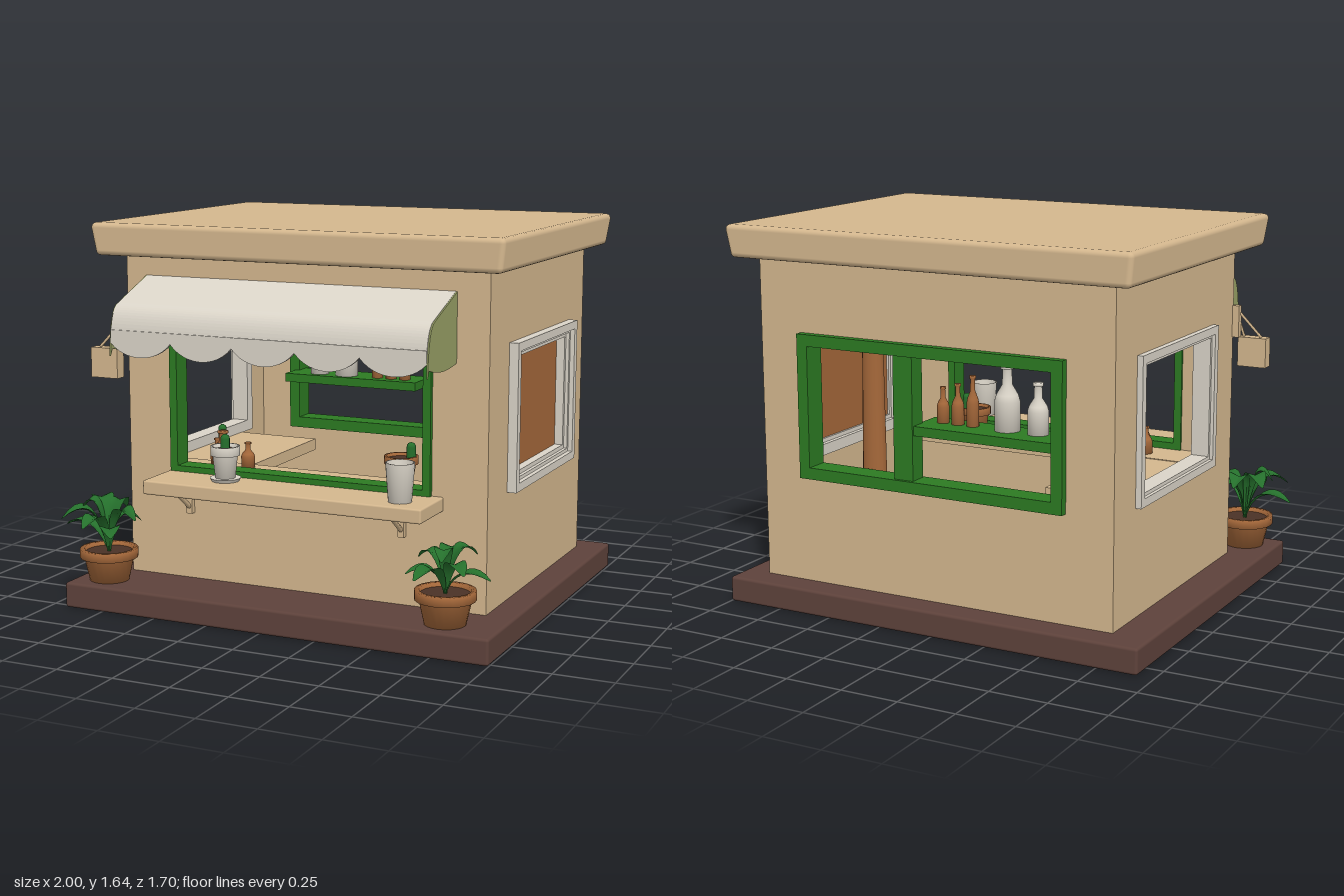
import * as THREE from 'three';
import { RoundedBoxGeometry } from 'three/addons/geometries/RoundedBoxGeometry.js';
import { ParametricGeometry } from 'three/addons/geometries/ParametricGeometry.js';

const material = (name, color, side = THREE.FrontSide) => {
  const m = new THREE.MeshStandardMaterial({ color, side });
  m.name = name;
  return m;
};

export function createModel() {
  const root = new THREE.Group();
  root.name = 'kiosk';
  const tan = material('sand plaster', 0xd4b78e);
  const brown = material('dark base', 0x5e423b);
  const green = material('painted green', 0x2c7a22);
  const white = material('off white', 0xdad4c8, THREE.DoubleSide);
  const olive = material('awning olive', 0x98a065, THREE.DoubleSide);
  const clay = material('terracotta', 0xa5683a, THREE.DoubleSide);
  const leafGreen = material('leaf green', 0x25702c, THREE.DoubleSide);
  const soil = material('soil', 0x4a3226);

  const add = (name, geo, mat, x = 0, y = 0, z = 0, parent = root) => {
    const m = new THREE.Mesh(geo, mat);
    m.name = name;
    m.position.set(x, y, z);
    parent.add(m);
    return m;
  };
  // box given by its limits
  const block = (name, mat, x0, x1, y0, y1, z0, z1, r = 0) => {
    const s = [x1 - x0, y1 - y0, z1 - z0];
    const geo = r ? new RoundedBoxGeometry(...s, 2, r) : new THREE.BoxGeometry(...s);
    return add(name, geo, mat, (x0 + x1) / 2, (y0 + y1) / 2, (z0 + z1) / 2);
  };
  // lathe from [radius, height] pairs
  const turned = (name, mat, pts, x, y, z, parent = root) =>
    add(name, new THREE.LatheGeometry(pts.map(p => new THREE.Vector2(...p)), 20), mat, x, y, z, parent);
  const rod = (name, mat, a, b, r) => {
    const path = new THREE.LineCurve3(new THREE.Vector3(...a), new THREE.Vector3(...b));
    return add(name, new THREE.TubeGeometry(path, 1, r, 6), mat);
  };
  // rectangle with a rectangular opening; limits are [left, right, bottom, top]
  const rect = (C, [l, r, b, t]) => {
    const s = new C();
    s.moveTo(l, b); s.lineTo(r, b); s.lineTo(r, t); s.lineTo(l, t); s.closePath();
    return s;
  };
  const panel = (name, mat, outer, hole, from, to, sideways = false) => {
    const s = rect(THREE.Shape, outer);
    s.holes.push(rect(THREE.Path, hole));
    const m = add(name, new THREE.ExtrudeGeometry(s, { depth: to - from, bevelEnabled: false }), mat);
    if (sideways) { m.rotation.y = Math.PI / 2; m.position.x = from; } else m.position.z = from;
    return m;
  };
  const inset = ([l, r, b, t], d) => [l + d, r - d, b + d, t - d];

  // Base and roof
  block('base', brown, -0.93, 1, 0, 0.11, -0.85, 0.78, 0.012);
  const roof = block('roof', tan, -0.89, 0.97, 1.5, 1.64, -0.85, 0.58, 0.022);
  const rp = roof.geometry.attributes.position;
  for (let i = 0; i < rp.count; i++) {
    if (rp.getY(i) < 0) rp.setXYZ(i, rp.getX(i) * 0.985, rp.getY(i), rp.getZ(i) * 0.985);
  }

  // Walls and window frames
  const front = [-0.56, 0.64, 0.57, 1.2];
  const back = [-0.56, 0.68, 0.57, 1.19];
  const side = [-0.25, 0.53, 0.57, 1.19];
  const face = [-0.77, 0.88, 0.1, 1.52], flank = [-0.42, 0.67, 0.1, 1.52];
  panel('frontWall', tan, face, inset(front, 0.01), 0.42, 0.48);
  panel('backWall', tan, face, inset(back, 0.01), -0.73, -0.67);
  panel('leftWall', tan, flank, inset(side, 0.01), 0.82, 0.88, true);
  panel('rightWall', tan, flank, inset(side, 0.01), -0.77, -0.71, true);
  panel('frontWindowFrame', green, front, inset(front, 0.035), 0.41, 0.5);
  panel('backWindowFrame', green, back, inset(back, 0.05), -0.765, -0.66);
  for (const [name, a, b, out] of [['left', 0.81, 0.9, 0.92], ['right', -0.78, -0.7, -0.795]]) {
    panel(name + 'WindowFrame', white, side, inset(side, 0.05), a, b, true);
    panel(name + 'WindowRim', white, side, inset(side, 0.035), Math.min(a, out), Math.max(b, out), true);
  }
  panel('leftWindowInnerFrame', white, inset(side, 0.045), inset(side, 0.068), 0.83, 0.885, true);
  block('leftWindowPane', clay, 0.84, 0.848, 0.63, 1.13, -0.48, 0.2);
  block('backMullion', green, 0.13, 0.22, 0.58, 1.18, -0.75, -0.67);
  block('bottleShelf', green, -0.53, 0.14, 0.81, 0.85, -0.74, -0.55);
  const post = add('post', new THREE.CylinderGeometry(0.042, 0.06, 1.39, 16), clay, 0.41, 0.805, -0.6);
  post.scale.z = 0.8;

  // Counters and brackets
  block('servingCounter', tan, -0.57, 0.69, 0.52, 0.58, 0.42, 0.72, 0.008);
  block('innerCounter', tan, -0.71, 0.69, 0.52, 0.575, 0.22, 0.42);
  block('sideCounter', tan, -0.71, -0.31, 0.52, 0.572, -0.42, 0.22);
  for (const x of [-0.47, 0.515]) {
    block('bracketPlate', tan, x - 0.014, x + 0.014, 0.4, 0.52, 0.48, 0.505);
    rod('bracketStrut', tan, [x, 0.43, 0.5], [x, 0.52, 0.62], 0.01);
  }

  // Awning: roof sheet, scalloped valance and olive ends
  const ax0 = -0.67, ax1 = 0.735;
  const sheet = new THREE.Shape();
  sheet.moveTo(-0.47, 1.42);
  sheet.lineTo(-0.72, 1.325);
  sheet.quadraticCurveTo(-0.775, 1.3, -0.782, 1.2);
  sheet.lineTo(-0.768, 1.2);
  sheet.quadraticCurveTo(-0.76, 1.29, -0.715, 1.31);
  sheet.lineTo(-0.47, 1.4);
  const top = add('awningTop', new THREE.ExtrudeGeometry(sheet, { depth: ax1 - ax0, bevelEnabled: false }), white, ax0);
  top.rotation.y = Math.PI / 2;
  const valance = new THREE.Shape();
  valance.moveTo(ax1, 1.22);
  valance.lineTo(ax0, 1.22);
  valance.lineTo(ax0, 1.165);
  const step = (ax1 - ax0) / 5;
  for (let i = 0; i < 5; i++) {
    const x = ax0 + i * step;
    valance.bezierCurveTo(x + step * 0.25, 1.09, x + step * 0.75, 1.09, x + step, i < 4 ? 1.175 : 1.165);
  }
  add('awningValance', new THREE.ExtrudeGeometry(valance, { depth: 0.014, bevelEnabled: false }), white, 0, 0, 0.771);
  const cheek = new THREE.Shape();
  cheek.moveTo(-0.48, 1.415);
  cheek.lineTo(-0.72, 1.322);
  cheek.quadraticCurveTo(-0.78, 1.3, -0.785, 1.11);
  cheek.lineTo(-0.77, 1.14);
  cheek.quadraticCurveTo(-0.63, 1.1, -0.48, 1.13);
  for (const x of [ax0 - 0.006, ax1]) {
    const m = add('awningEnd', new THREE.ExtrudeGeometry(cheek, { depth: 0.006, bevelEnabled: false }), olive, x);
    m.rotation.y = Math.PI / 2;
  }

  // Hanging sign beside the right front corner
  block('signBoard', tan, -0.92, -0.79, 0.97, 1.1, 0.49, 0.545);
  block('signBracket', tan, -0.8, -0.765, 1.1, 1.24, 0.47, 0.5);
  for (const x of [-0.89, -0.81]) rod('signCord', tan, [x, 1.1, 0.515], [-0.775, 1.23, 0.49], 0.006);

  // Bottles on the shelf and on the counter
  const bottle = (mat, x, y, z, r, h) => turned('bottle', mat, [[0, 0], [r, 0], [r, h * 0.45], [r * 0.85, h * 0.55],
    [r * 0.4, h * 0.7], [r * 0.36, h * 0.93], [r * 0.5, h * 0.94], [r * 0.5, h], [0, h]], x, y, z);
  bottle(white, -0.38, 0.85, -0.62, 0.044, 0.21);
  bottle(white, -0.24, 0.85, -0.62, 0.053, 0.27);
  [[-0.08, 0.21], [-0.01, 0.17], [0.06, 0.15]].forEach(([x, h]) => bottle(clay, x, 0.85, -0.62, 0.026, h));
  bottle(clay, -0.4, 0.575, 0.32, 0.048, 0.16);
  bottle(clay, -0.44, 0.575, 0.3, 0.03, 0.12);
  bottle(clay, -0.3, 0.575, 0.28, 0.03, 0.11);

  // Pots, cacti and cup
  const pot = (name, mat, x, y, z, r, h, parent = root) => {
    turned(name, mat, [[0, 0], [r * 0.68, 0], [r * 0.86, h * 0.72], [r, h * 0.72], [r, h], [r * 0.84, h],
      [r * 0.8, h * 0.8]], x, y, z, parent);
    add('potSoil', new THREE.CylinderGeometry(r * 0.83, r * 0.8, 0.01, 20), soil, x, y + h * 0.85, z, parent);
  };
  const cactus = (x, y, z, r, h) =>
    add('cactus', new THREE.CapsuleGeometry(r, h, 4, 10), leafGreen, x, y, z);
  pot('whitePot', white, -0.25, 0.59, 0.58, 0.062, 0.14);
  add('whiteSaucer', new THREE.CylinderGeometry(0.066, 0.058, 0.014, 20), white, -0.25, 0.588, 0.58);
  cactus(-0.25, 0.73, 0.58, 0.02, 0.06);
  pot('clayPot', clay, 0.43, 0.575, 0.3, 0.072, 0.12);
  cactus(0.475, 0.7, 0.3, 0.02, 0.07);
  cactus(-0.43, 0.7, 0.27, 0.018, 0.07);
  turned('cup', white, [[0, 0], [0.048, 0], [0.06, 0.16], [0.054, 0.16], [0.042, 0.012], [0, 0.012]], 0.56, 0.58, 0.62);

  // Hanging lamps, floor mat and jar inside
  for (const [x, y] of [[-0.19, 1.04], [0.07, 1.07]]) {
    turned('lampShade', clay, [[0.036, 0], [0.036, 0.045], [0.015, 0.08], [0, 0.08]], x, y, -0.1);
    rod('lampCord', green, [x, y + 0.07, -0.1], [x, 1.5, -0.1], 0.006);
  }
  add('floorMat', new THREE.CylinderGeometry(0.19, 0.19, 0.008, 24), clay, -0.5, 0.115, -0.46);
  turned('jar', brown, [[0, 0], [0.07, 0], [0.08, 0.07], [0.07, 0.14], [0.04, 0.17], [0.04, 0.2], [0, 0.2]], -0.5, 0.12, -0.5);

  // Leafy plants: paddle leaves that arch outwards
  const leaf = (reach, rise, width) => new ParametricGeometry((u, v, p) => {
    const w = 0.006 + width * Math.pow(Math.sin(Math.PI * Math.pow(v, 1.7)), 0.8) * (v < 1 ? 1 : 0);
    const s = u * 2 - 1;
    p.set(s * w, rise * Math.sin(v * 2.2) + Math.abs(s) * w * 0.35, reach * (0.35 * v + 0.65 * v * v));
  }, 4, 10);
  const plant = (name, x, z, leaves) => {
    const g = new THREE.Group();
    g.name = name;
    g.position.set(x, 0.11, z);
    root.add(g);
    pot('plantPot', clay, 0, 0, 0, 0.125, 0.14, g);
    for (const [angle, reach, rise, width] of leaves) {
      add('leaf', leaf(reach, rise, width), leafGreen, 0, 0.115, 0, g).rotation.y = angle;
    }
  };
  // each leaf: direction, reach, rise, half width
  plant('rightPlant', -0.785, 0.65, [[-1.6, 0.215, 0.13, 0.04], [-0.9, 0.2, 0.2, 0.042], [-0.2, 0.16, 0.17, 0.042],
    [0.6, 0.17, 0.13, 0.04], [1.4, 0.15, 0.2, 0.04], [2.2, 0.14, 0.17, 0.036], [3.1, 0.14, 0.22, 0.04],
    [-2.3, 0.16, 0.23, 0.042], [-1.3, 0.12, 0.23, 0.036]]);
  plant('leftPlant', 0.77, 0.65, [[1.55, 0.19, 0.1, 0.034], [0.8, 0.17, 0.15, 0.034], [-0.25, 0.21, 0.13, 0.036],
    [-1.1, 0.16, 0.11, 0.034], [-1.8, 0.13, 0.17, 0.032], [2.4, 0.14, 0.19, 0.034], [3.3, 0.14, 0.18, 0.034],
    [0.2, 0.1, 0.2, 0.032]]);
  return root;
}
